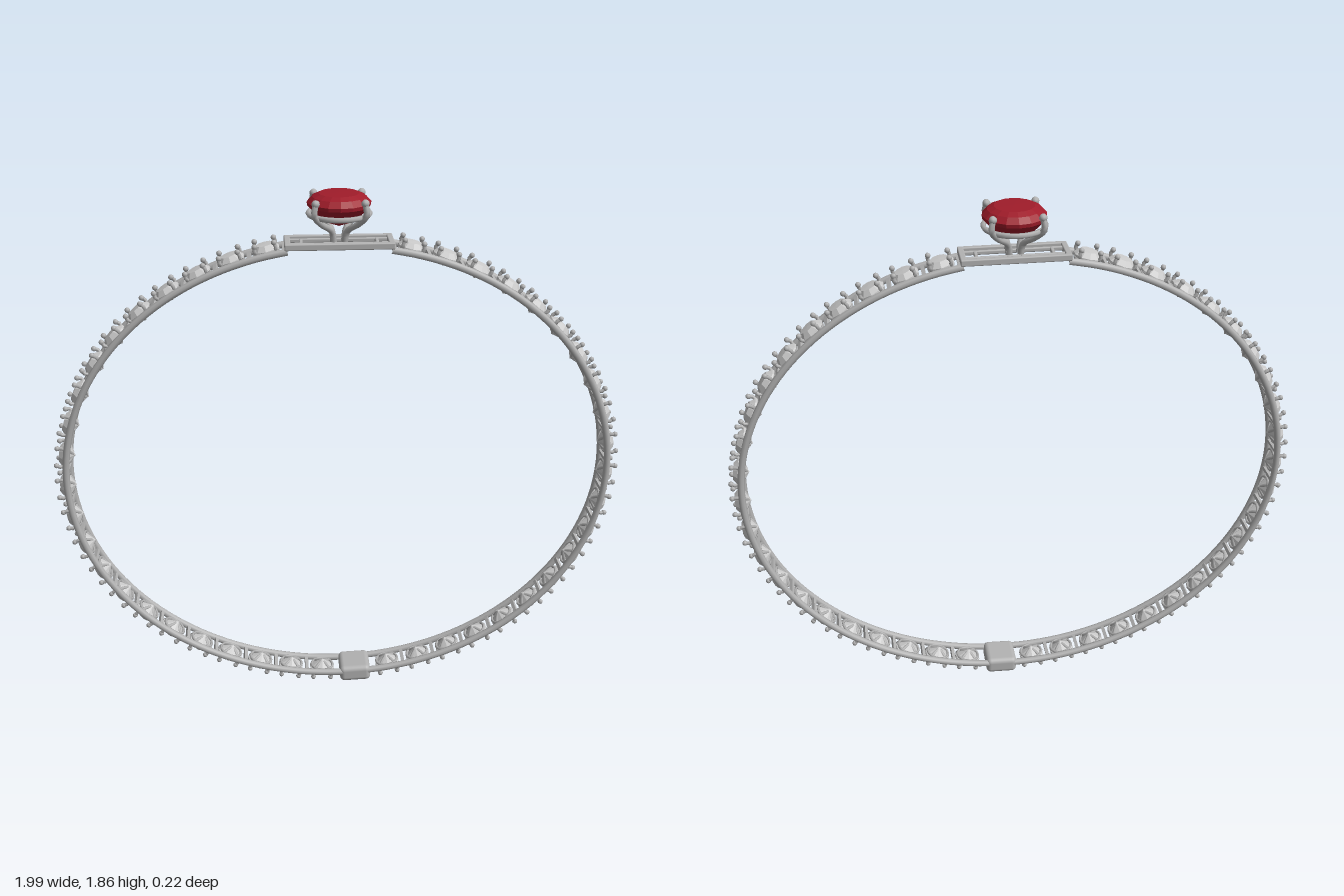
import * as THREE from 'three';
import { mergeGeometries } from 'three/addons/utils/BufferGeometryUtils.js';
import { RoundedBoxGeometry } from 'three/addons/geometries/RoundedBoxGeometry.js';

const v3 = (x, y, z) => new THREE.Vector3(x, y, z);

function material(name, color, flatShading = false) {
  const m = new THREE.MeshStandardMaterial({ color, flatShading });
  m.name = name;
  return m;
}

// Tube through a few points, finished with a round bead at its last point
function prongGeometry(points, radius, bead, segments) {
  const tube = new THREE.TubeGeometry(new THREE.CatmullRomCurve3(points), segments, radius, 6);
  const tip = new THREE.SphereGeometry(bead, 8, 6);
  const end = points[points.length - 1];
  tip.translate(end.x, end.y, end.z);
  return mergeGeometries([tube, tip]);
}

// Four copies of a prong around the y axis, on the diagonals
function fourProngs(prong) {
  return mergeGeometries([0, 1, 2, 3].map(i => prong.clone().rotateY(Math.PI / 4 + i * Math.PI / 2)));
}

function ring(radius, thickness, y, segments) {
  return new THREE.TorusGeometry(radius, thickness, 6, segments).rotateX(Math.PI / 2).translate(0, y, 0);
}

function gemGeometry(profile, sides) {
  return new THREE.LatheGeometry(profile.map(([r, y]) => new THREE.Vector2(r, y)), sides);
}

export function createModel() {
  const model = new THREE.Group();
  model.name = 'bracelet';
  const metal = material('silver metal', 0xb2b2b2);
  const clear = material('clear stone', 0xcacaca, true);
  const red = material('red stone', 0xa01c2a, true);

  const add = (name, geometry, mat, parent = model) => {
    const mesh = new THREE.Mesh(geometry, mat);
    mesh.name = name;
    parent.add(mesh);
    return mesh;
  };

  // Oval side rails, open at the top where the flat bridge sits
  const CY = 0.875, A = 0.95, B = 0.825;
  const gap = Math.asin(0.17 / A);
  const path = [];
  for (let i = 0; i <= 72; i++) {
    const t = gap + (2 * Math.PI - 2 * gap) * i / 72;
    path.push(v3(A * Math.sin(t), CY + B * Math.cos(t), 0));
  }
  const rail = new THREE.TubeGeometry(new THREE.CatmullRomCurve3(path), 144, 0.012, 8);
  for (const z of [-0.05, 0.05]) add('sideRail', rail, metal).position.z = z;

  // Small stone, its four-prong basket and the bar that joins the rails
  const stone = gemGeometry([[0, -0.026], [0.047, 0.006], [0.047, 0.012], [0.03, 0.028], [0, 0.029]], 10);
  const basket = mergeGeometries([
    fourProngs(prongGeometry(
      [v3(0.006, -0.016, 0), v3(0.03, -0.004, 0), v3(0.05, 0.016, 0), v3(0.046, 0.034, 0)], 0.0065, 0.0095, 5)),
    ring(0.04, 0.005, -0.002, 16),
  ]);
  const crossBar = new THREE.BoxGeometry(0.012, 0.014, 0.1);

  const half = new THREE.EllipseCurve(0, CY, A, B, Math.PI / 2, -Math.PI / 2, true);
  half.arcLengthDivisions = 600;
  const length = half.getLength();
  const COUNT = 22, first = 0.24, step = (length - first - 0.065) / (COUNT - 1);

  // Places an object on the band at arc distance s from the top
  function place(object, s, side) {
    const p = half.getPointAt(s / length), t = half.getTangentAt(s / length);
    object.position.set(side * p.x, p.y, 0);
    object.rotation.z = side * Math.atan2(t.y, t.x);
  }

  for (const side of [-1, 1]) {
    // The clasp takes the place of the last stone on the left
    const n = side > 0 ? COUNT - 1 : COUNT;
    for (let i = 0; i < n; i++) {
      const setting = new THREE.Group();
      setting.name = 'smallSetting';
      add('smallStone', stone, clear, setting);
      add('smallProngs', basket, metal, setting);
      place(setting, first + i * step, side);
      model.add(setting);
      place(add('crossBar', crossBar, metal), first + (i - 0.5) * step, side);
    }
  }

  // Clasp
  const clasp = add('clasp', new RoundedBoxGeometry(0.115, 0.062, 0.126, 4, 0.018), metal);
  clasp.position.set(0.058, 0.043, 0);
  clasp.rotation.z = 0.04;

  // Flat open bridge under the main stone
  const bridge = new THREE.Group();
  bridge.name = 'bridge';
  bridge.position.y = 1.703;
  model.add(bridge);
  const bar = (name, w, h, d, x, z) =>
    add(name, new RoundedBoxGeometry(w, h, d, 2, 0.004), metal, bridge).position.set(x, 0, z);
  for (const s of [-1, 1]) {
    bar('bridgeRail', 0.36, 0.022, 0.018, 0, s * 0.054);
    bar('bridgeInnerRail', 0.33, 0.014, 0.011, 0, s * 0.026);
    bar('bridgeEnd', 0.02, 0.022, 0.12, s * 0.17, 0);
    bar('bridgeCrossBar', 0.012, 0.014, 0.06, s * 0.125, 0);
    bar('bridgeCentreBar', 0.012, 0.014, 0.1, s * 0.022, 0);
  }

  // Main setting: four curved prongs and a ring
  const mainSetting = new THREE.Group();
  mainSetting.name = 'mainSetting';
  model.add(mainSetting);
  add('mainProngs', fourProngs(prongGeometry(
    [v3(0.024, 1.7, 0), v3(0.035, 1.745, 0), v3(0.085, 1.778, 0), v3(0.118, 1.812, 0), v3(0.112, 1.848, 0)],
    0.0105, 0.0135, 14)), metal, mainSetting);
  add('mainRing', ring(0.1, 0.009, 1.8, 32), metal, mainSetting);

  // Main stone
  add('mainStone', gemGeometry(
    [[0, 1.757], [0.06, 1.78], [0.103, 1.826], [0.105, 1.838], [0.088, 1.856], [0.066, 1.866], [0, 1.868]], 16),
    red, mainSetting);

  return model;
}
